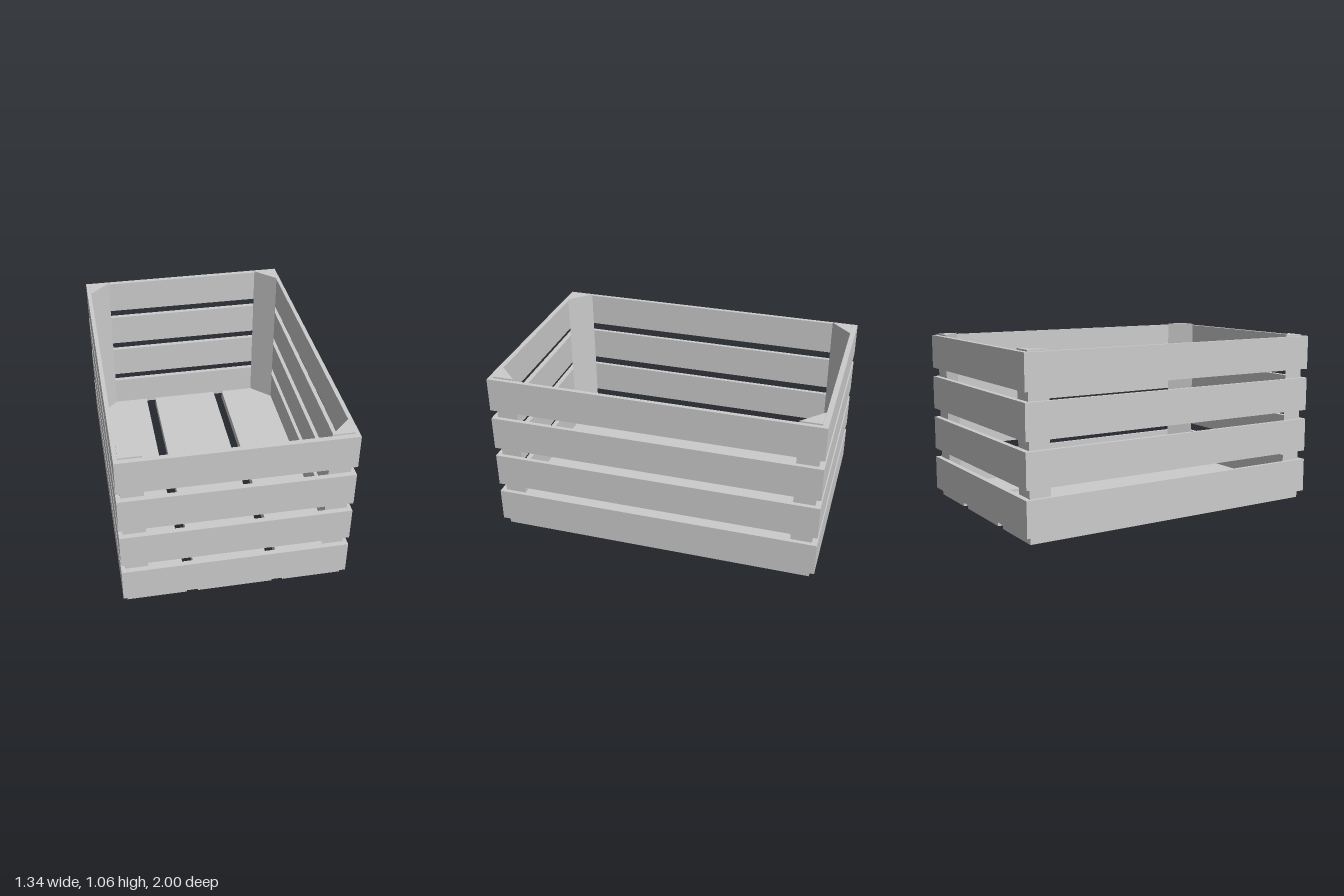
import * as THREE from 'three';

const material = new THREE.MeshStandardMaterial({ color: 0xcccccc, flatShading: true });

// Outer half sizes, inner half sizes and floor thickness
const OX = 0.67, OZ = 1.0, IX = 0.645, IZ = 0.968, FLOOR = 0.063;

const polygon = (Type, pts) => new Type(pts.map(([x, y]) => new THREE.Vector2(x, y)));
const rectangle = (x, z) => [[-x, -z], [x, -z], [x, z], [-x, z]];

// Extrudes a plan outline upwards from y0 to y1
function upright(name, shape, y0, y1) {
  const geometry = new THREE.ExtrudeGeometry(shape, { depth: y1 - y0, bevelEnabled: false });
  geometry.rotateX(-Math.PI / 2).translate(0, y0, 0);
  const mesh = new THREE.Mesh(geometry, material);
  mesh.name = name;
  return mesh;
}

export function createModel() {
  const crate = new THREE.Group();
  crate.name = 'slattedCrate';

  // Four levels of wall slats, mitred into a frame at the corners
  for (let i = 0; i < 4; i++) {
    const y = 0.045 + i * 0.2663;
    const frame = polygon(THREE.Shape, rectangle(OX, OZ));
    frame.holes.push(polygon(THREE.Path, rectangle(IX, IZ)));
    crate.add(upright('wallSlats' + (i + 1), frame, y, y + 0.21));
  }

  // Floor boards running front to back
  for (const [name, x0, x1] of [
    ['floorBoardRight', -IX, -0.29],
    ['floorBoardMiddle', -0.225, 0.225],
    ['floorBoardLeft', 0.29, IX],
  ]) {
    const board = new THREE.Mesh(new THREE.BoxGeometry(x1 - x0, FLOOR, 2 * IZ), material);
    board.position.set((x0 + x1) / 2, FLOOR / 2, 0);
    board.name = name;
    crate.add(board);
  }

  // Triangular corner posts standing on the floor
  for (const sx of [-1, 1]) {
    for (const sz of [-1, 1]) {
      const corner = polygon(THREE.Shape, [
        [sx * IX, -sz * IZ],
        [sx * 0.515, -sz * IZ],
        [sx * IX, -sz * 0.84],
      ]);
      const name = (sz > 0 ? 'front' : 'back') + (sx > 0 ? 'Left' : 'Right') + 'Post';
      crate.add(upright(name, corner, FLOOR, 1.063));
    }
  }

  return crate;
}
